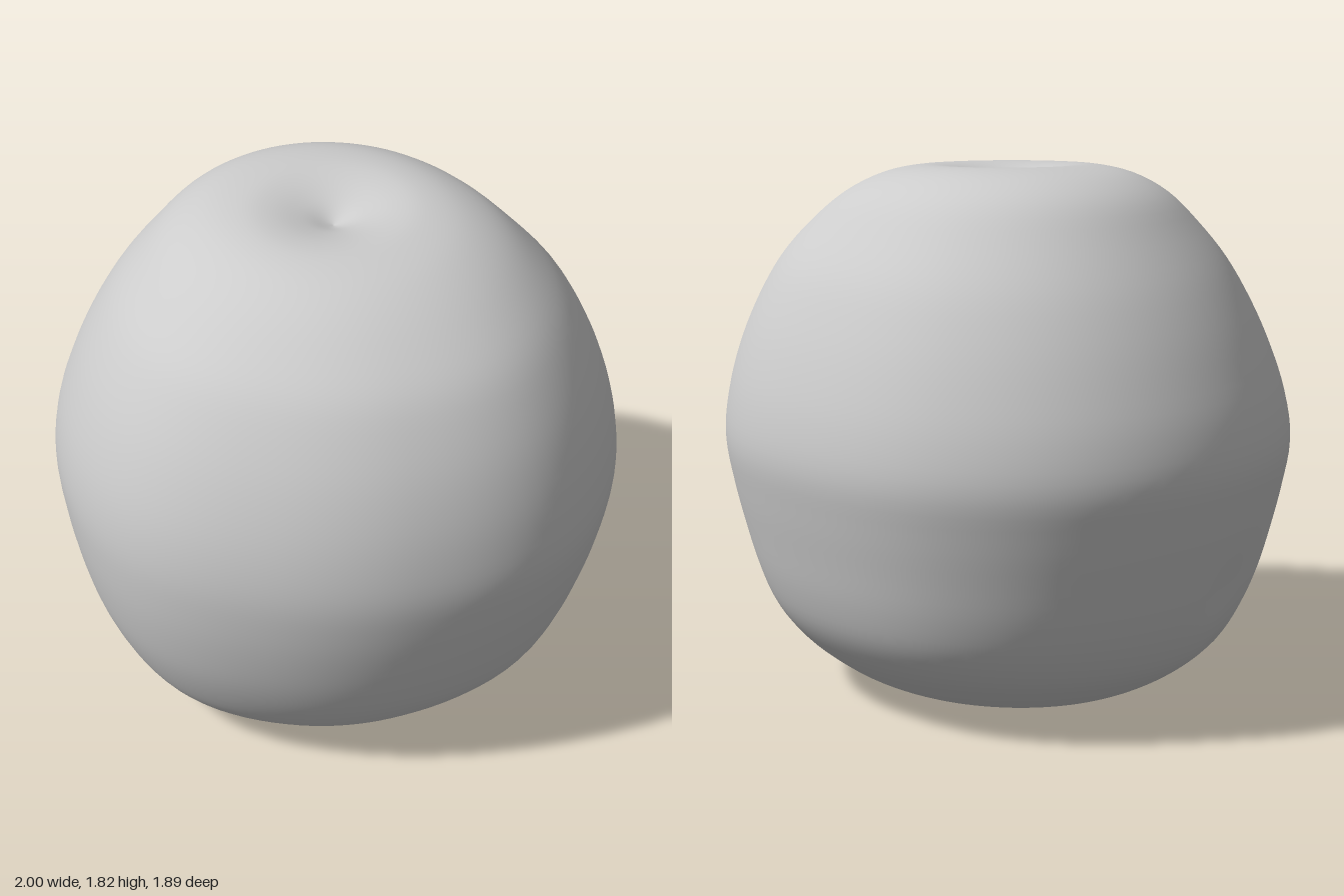
import * as THREE from 'three';
import { mergeVertices } from 'three/addons/utils/BufferGeometryUtils.js';

// Body sections from the base hollow, round the outside, into the top dimple:
// [height, reach to +x, +z, -x, -z]
const ring = (y, r) => [y, r, r, r, r];
const SECTIONS = [
  ring(0.097, 0), ring(0.095, 0.045), ring(0.083, 0.085), ring(0.09, 0.13), ring(0.07, 0.2), ring(0.036, 0.28),
  ring(0.016, 0.37),
  [0.028, 0.47, 0.48, 0.47, 0.45],
  [0.068, 0.57, 0.59, 0.57, 0.55],
  [0.13, 0.66, 0.69, 0.67, 0.64],
  [0.21, 0.745, 0.775, 0.76, 0.725],
  [0.32, 0.83, 0.84, 0.83, 0.8],
  [0.45, 0.89, 0.89, 0.885, 0.85],
  [0.6, 0.94, 0.925, 0.93, 0.887],
  [0.75, 0.978, 0.945, 0.97, 0.92],
  [0.9, 0.999, 0.95, 0.999, 0.944],
  [1.05, 0.985, 0.932, 0.975, 0.928],
  [1.2, 0.95, 0.89, 0.92, 0.885],
  [1.35, 0.892, 0.827, 0.85, 0.823],
  [1.5, 0.805, 0.74, 0.76, 0.74],
  [1.62, 0.705, 0.64, 0.66, 0.63],
  [1.72, 0.58, 0.53, 0.56, 0.525],
  [1.785, 0.44, 0.41, 0.44, 0.41],
  ring(1.812, 0.3), ring(1.808, 0.2), ring(1.783, 0.1), ring(1.755, 0.03), ring(1.745, 0),
];
// Widest outline seen from above, every 30 degrees from +x towards +z
const PLAN = [1, 0.945, 0.92, 0.95, 0.958, 0.98, 1, 1.003, 0.98, 0.95, 0.975, 0.985];
// Small dents in the skin: [x, y, z, radius, depth]
const DENTS = [[-0.88, 0.47, 0.1, 0.1, 0.015], [-0.75, 0.2, 0.22, 0.05, 0.02]];

// Smooth curve through four neighbouring values
function spline(a, b, c, d, t) {
  return b + 0.5 * t * (c - a + t * (2 * a - 5 * b + 4 * c - d + t * (3 * (b - c) + d - a)));
}

function sectionAt(u) {
  const i = Math.min(Math.floor(u), SECTIONS.length - 2);
  const at = (k) => SECTIONS[THREE.MathUtils.clamp(k, 0, SECTIONS.length - 1)];
  return SECTIONS[0].map((_, k) => spline(at(i - 1)[k], at(i)[k], at(i + 1)[k], at(i + 2)[k], u - i));
}

function planAt(angle) {
  const f = angle / (Math.PI / 6), i = Math.floor(f), at = (k) => PLAN[(k + 12) % 12];
  return spline(at(i - 1), at(i), at(i + 1), at(i + 2), f - i);
}

// Mix of the four reaches at an angle
function blend(px, pz, nx, nz, angle) {
  const c = Math.cos(angle), s = Math.sin(angle);
  return c * c * (c > 0 ? px : nx) + s * s * (s > 0 ? pz : nz);
}

function bodyGeometry(around = 96, steps = 4) {
  const rows = (SECTIONS.length - 1) * steps, positions = [], index = [];
  for (let j = 0; j <= rows; j++) {
    const [y, ...reach] = sectionAt(j / steps);
    for (let i = 0; i < around; i++) {
      const angle = (i / around) * Math.PI * 2;
      let r = blend(...reach, angle);
      // Uneven outline, fading out towards the hollows
      const uneven = planAt(angle) / blend(1, 0.95, 1, 0.95, angle) - 1;
      r *= 1 + uneven * THREE.MathUtils.smoothstep(r, 0.25, 0.85);
      const p = new THREE.Vector3(r * Math.cos(angle), y, r * Math.sin(angle));
      // Slight tilt of the top rim and of the base
      p.y -= THREE.MathUtils.smoothstep(y, 1.5, 1.75) * (0.035 * p.x + 0.035 * p.z);
      p.y -= (1 - THREE.MathUtils.smoothstep(y, 0.05, 0.4)) * 0.025 * p.z;
      for (const [dx, dy, dz, size, depth] of DENTS) {
        const d = Math.hypot(p.x - dx, p.y - dy, p.z - dz) / size;
        const k = 1 - depth * Math.exp(-d * d);
        p.x *= k;
        p.z *= k;
      }
      positions.push(p.x, Math.max(p.y, 0), p.z);
      if (j < rows) {
        const a = j * around + i, b = j * around + ((i + 1) % around);
        index.push(a, a + around, b, b, a + around, b + around);
      }
    }
  }
  const geometry = new THREE.BufferGeometry();
  geometry.setAttribute('position', new THREE.Float32BufferAttribute(positions, 3));
  geometry.setIndex(index);
  const merged = mergeVertices(geometry, 1e-5); // joins each pole to one point
  merged.computeVertexNormals();
  return merged;
}

export function createModel() {
  const group = new THREE.Group();
  group.name = 'fruit';
  const skin = new THREE.MeshStandardMaterial({ color: 0xcccccc });
  skin.name = 'grey skin';
  const body = new THREE.Mesh(bodyGeometry(), skin);
  body.name = 'fruitBody';
  group.add(body);
  return group;
}
